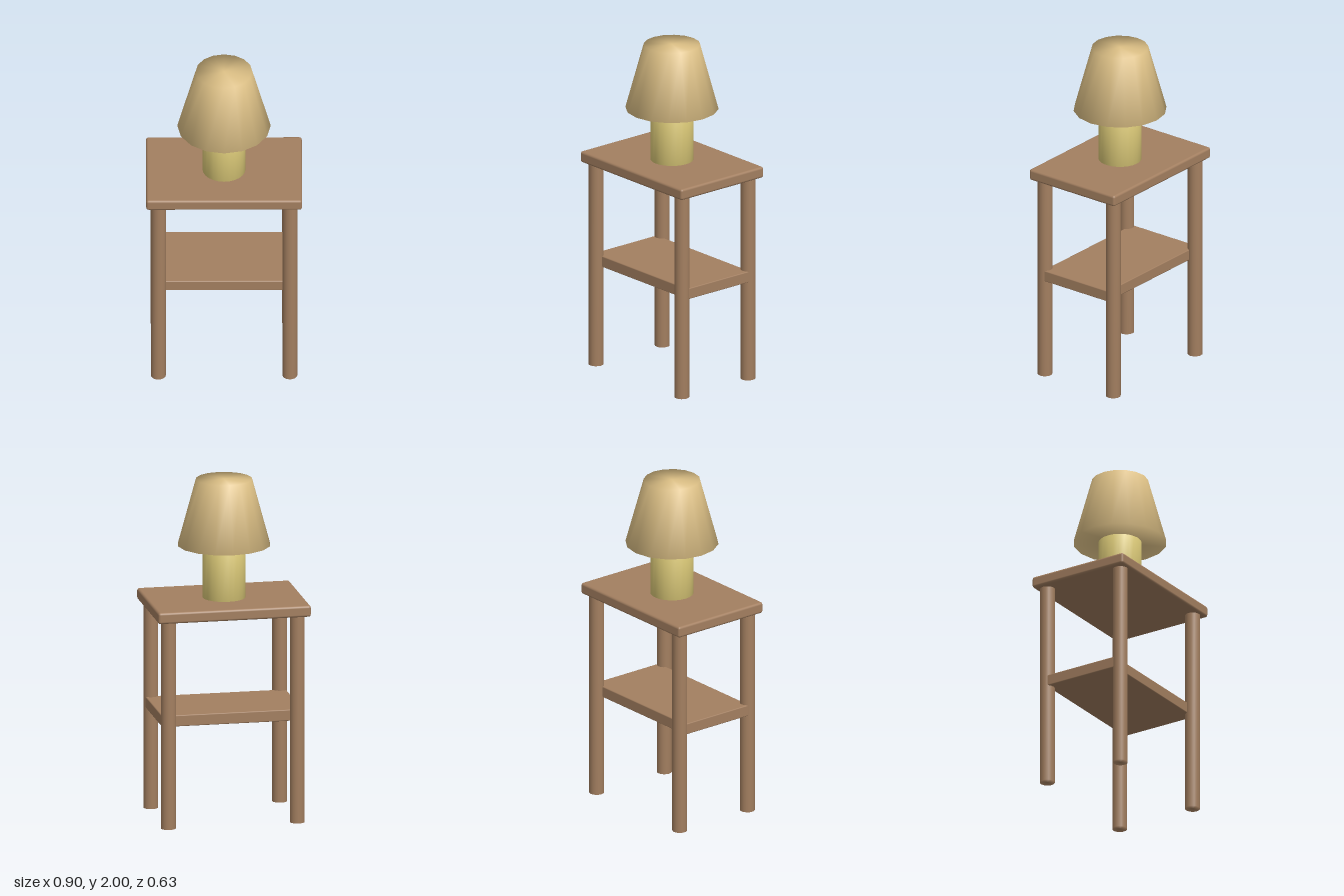
import * as THREE from 'three';
import { mergeVertices } from 'three/addons/utils/BufferGeometryUtils.js';
import { RoundedBoxGeometry } from 'three/addons/geometries/RoundedBoxGeometry.js';

// Closed round solid whose normals blend softly across the rims
function softCylinder(topRadius, bottomRadius, height, sides) {
  const geometry = new THREE.CylinderGeometry(topRadius, bottomRadius, height, sides);
  geometry.deleteAttribute('normal');
  geometry.deleteAttribute('uv');
  const merged = mergeVertices(geometry, 1e-4);
  merged.computeVertexNormals();
  return merged;
}

export function createModel() {
  const wood = new THREE.MeshStandardMaterial({ color: 0xa37f60 });
  wood.name = 'wood';
  const fabric = new THREE.MeshStandardMaterial({ color: 0xdfc287 });
  fabric.name = 'shade fabric';
  const ceramic = new THREE.MeshStandardMaterial({ color: 0xdcca78 });
  ceramic.name = 'lamp ceramic';

  const model = new THREE.Group();
  model.name = 'sideTableWithLamp';
  const add = (name, geometry, material, x, y, z, parent = model) => {
    const mesh = new THREE.Mesh(geometry, material);
    mesh.name = name;
    mesh.position.set(x, y, z);
    parent.add(mesh);
  };

  // Table: top and lower shelf with softened edges, four round legs
  add('tableTop', new RoundedBoxGeometry(0.9, 0.067, 0.628, 2, 0.014), wood, 0, 1.264, 0);
  add('shelf', new RoundedBoxGeometry(0.83, 0.067, 0.48, 1, 0.006), wood, 0, 0.633, 0);
  const legGeometry = softCylinder(0.0435, 0.0435, 1.235, 16);
  for (const x of [-1, 1]) {
    for (const z of [-1, 1]) {
      const name = (z > 0 ? 'front' : 'back') + (x > 0 ? 'Left' : 'Right') + 'Leg';
      add(name, legGeometry, wood, x * 0.38, 0.6175, z * 0.252);
    }
  }

  // Lamp: plain cylinder base below a closed flared shade
  const lamp = new THREE.Group();
  lamp.name = 'lamp';
  model.add(lamp);
  add('lampBase', softCylinder(0.125, 0.125, 0.315, 24), ceramic, 0, 1.4525, 0, lamp);
  add('lampShade', softCylinder(0.164, 0.27, 0.39, 16), fabric, 0, 1.805, 0, lamp);

  return model;
}
